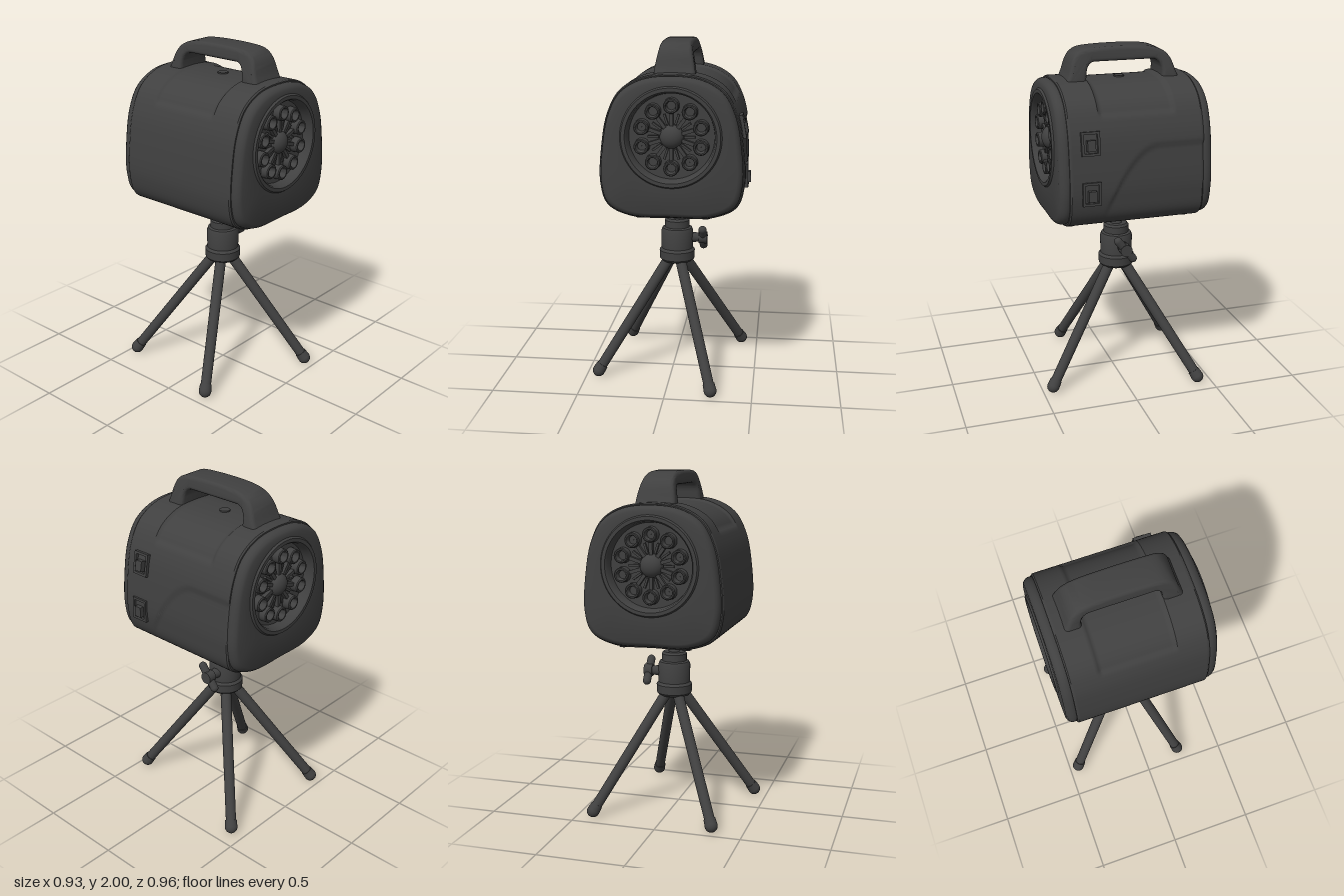
import * as THREE from 'three';
import { toCreasedNormals } from 'three/addons/utils/BufferGeometryUtils.js';

const V2 = (x, y) => new THREE.Vector2(x, y);
const step = THREE.MathUtils.smoothstep;
const CX = 0.033, CZ = -0.02, MIDY = 1.43, FANY = 1.492;

export function createModel() {
  const model = new THREE.Group();
  model.name = 'bubbleMachine';
  const mat = new THREE.MeshStandardMaterial({ color: 0x404040 });
  mat.name = 'charcoal plastic';

  function add(parent, name, geo, x = 0, y = 0, z = 0) {
    const m = new THREE.Mesh(geo, mat);
    m.name = name;
    m.position.set(x, y, z);
    parent.add(m);
    return m;
  }
  const cyl = (r1, r2, h, n = 32) => new THREE.CylinderGeometry(r1, r2, h, n);

  // Round solid between two points
  function rod(parent, name, a, b, rA, rB) {
    const m = add(parent, name, cyl(rB, rA, a.distanceTo(b), 20));
    m.position.copy(a).lerp(b, 0.5);
    m.quaternion.setFromUnitVectors(new THREE.Vector3(0, 1, 0), b.clone().sub(a).normalize());
    return m;
  }

  // Casing outline, counter-clockwise from the top centre
  const half = [[0.17, 1.811], [0.29, 1.74], [0.358, 1.615], [0.392, 1.445],
    [0.402, 1.22], [0.362, 1.1], [0.235, 1.038]];
  const pts = [[0, 1.832], ...half.map(([x, y]) => [-x, y]), [0, 1.03], ...half.slice().reverse()];
  const outline = new THREE.CatmullRomCurve3(pts.map(([x, y]) => new THREE.Vector3(x, y, 0)), true)
    .getSpacedPoints(160).slice(0, 160);

  // Skin over rings, back to front; point(p, ring) gives each corner
  function loft(rings, point) {
    const pos = [], idx = [], n = outline.length;
    rings.forEach((ring, i) => outline.forEach((p, j) => {
      pos.push(...point(p, ring));
      if (i === rings.length - 1) return;
      const k = (j + 1) % n, a = i * n + j, b = i * n + k;
      idx.push(a, b, b + n, a, b + n, a + n);
    }));
    const g = new THREE.BufferGeometry();
    g.setAttribute('position', new THREE.Float32BufferAttribute(pos, 3));
    g.setIndex(idx);
    return toCreasedNormals(g, 0.65);
  }

  const casing = new THREE.Group();
  casing.name = 'casing';
  casing.position.set(CX, 0, CZ);
  model.add(casing);

  // Main shell, with a saddle recess on top and a swept recess on one side
  function sink(x, y, z) {
    const saddle = step(z, -0.227, -0.213) * (1 - step(z, 0.193, 0.207)) * step(y, 1.665, 1.69);
    const wz = z + CZ;
    const line = 1.51 - 0.31 * (Math.max(0, wz + 0.15) / 0.29) ** 2;
    const sweep = x > 0 ? (1 - step(y, line - 0.02, line + 0.01)) * step(y, 1.1, 1.24) : 0;
    return 0.014 * saddle + 0.011 * sweep;
  }
  const L = 0.385, shellRings = [[-L, 0.95], [-L, 0.985], [-L + 0.008, 1]];
  for (let i = 1; i < 72; i++) shellRings.push([-L + 0.008 + (i / 72) * (2 * L - 0.016), 1]);
  shellRings.push([L - 0.008, 1], [L, 0.985], [L, 0.95]);
  add(casing, 'shell', loft(shellRings, (p, [z, s]) => {
    const dx = p.x, dy = p.y - MIDY;
    const f = s - sink(p.x, p.y, z) / Math.hypot(dx, dy);
    return [dx * f, MIDY + dy * f, z];
  }));

  // End caps with a round fan recess; [z, outline scale] or [z, 0, circle radius]
  const capRings = [[0.375, 0.955], [0.39, 0.972], [0.405, 0.972], [0.42, 0.96], [0.433, 0.935], [0.44, 0.9],
    [0.441, 0, 0.28], [0.452, 0, 0.272], [0.452, 0, 0.252], [0.44, 0, 0.243], [0.39, 0, 0.236], [0.385, 0, 0.02]];
  const capGeo = loft(capRings, (p, [z, s, r]) => {
    if (!r) return [p.x * s, MIDY + (p.y - MIDY) * s, z];
    const d = V2(p.x, p.y - FANY).setLength(r);
    return [d.x, FANY + d.y, z];
  });
  const nozzleGeo = toCreasedNormals(new THREE.LatheGeometry([V2(0.044, 0), V2(0.042, 0.045), V2(0.037, 0.05),
    V2(0.03, 0.05), V2(0.027, 0.045), V2(0.024, 0.012), V2(0.001, 0.012)], 24).rotateX(Math.PI / 2), 0.6);
  const hubGeo = new THREE.SphereGeometry(0.066, 32, 20).scale(1, 1, 0.75);
  for (const [side, turn] of [['front', 0], ['back', Math.PI]]) {
    const end = new THREE.Group();
    end.name = side + 'End';
    end.rotation.y = turn;
    casing.add(end);
    add(end, 'cap', capGeo);
    const fan = new THREE.Group();
    fan.name = 'bubbleWheel';
    fan.position.set(0, FANY, 0.385);
    end.add(fan);
    add(fan, 'hub', hubGeo, 0, 0, 0.008);
    for (let i = 0; i < 10; i++) {
      const arm = new THREE.Group();
      arm.name = 'wheelArm';
      arm.rotation.z = (i / 10) * Math.PI * 2;
      fan.add(arm);
      add(arm, 'nozzle', nozzleGeo, 0, 0.172, 0);
      add(arm, 'spoke', new THREE.BoxGeometry(0.02, 0.09, 0.026), 0, 0.095, 0.013);
      const rib = add(arm, 'rib', new THREE.BoxGeometry(0.012, 0.06, 0.018), 0, 0, 0.009);
      rib.rotation.z = Math.PI / 10;
      rib.position.set(-Math.sin(Math.PI / 10) * 0.1, Math.cos(Math.PI / 10) * 0.1, 0.009);
    }
  }

  // Carrying handle: an arch that widens towards its feet
  const arch = new THREE.Shape();
  arch.moveTo(0.31, 1.79);
  arch.lineTo(0.293, 1.84);
  arch.bezierCurveTo(0.268, 1.89, 0.28, 1.985, 0.17, 1.993);
  arch.bezierCurveTo(0.08, 2.002, -0.1, 2.002, -0.18, 1.992);
  arch.bezierCurveTo(-0.31, 1.975, -0.315, 1.9, -0.335, 1.85);
  arch.lineTo(-0.362, 1.79);
  arch.lineTo(-0.25, 1.79);
  arch.lineTo(-0.254, 1.86);
  arch.quadraticCurveTo(-0.245, 1.917, -0.2, 1.922);
  arch.lineTo(0.14, 1.922);
  arch.quadraticCurveTo(0.18, 1.915, 0.185, 1.86);
  arch.lineTo(0.192, 1.79);
  const handleGeo = new THREE.ExtrudeGeometry(arch, { depth: 0.16, curveSegments: 14,
    bevelThickness: 0.02, bevelSize: 0.02, bevelOffset: -0.02, bevelSegments: 4 });
  handleGeo.translate(0, 0, -0.08).rotateY(-Math.PI / 2);
  const hp = handleGeo.attributes.position;
  for (let i = 0; i < hp.count; i++) {
    hp.setX(i, hp.getX(i) * (1.16 - 0.31 * step(hp.getY(i), 1.8, 2.02)));
  }
  add(model, 'handle', toCreasedNormals(handleGeo, 0.7), 0.038, 0, 0);
  add(model, 'topButton', cyl(0.03, 0.03, 0.02), 0.035, 1.815, -0.03);

  // Switches on the side: a frame of four bars with a knob
  for (const [name, x, y, tilt] of [['powerSwitch', 0.413, 1.54, 0.18], ['lightSwitch', 0.435, 1.267, 0.03]]) {
    const sw = new THREE.Group();
    sw.name = name;
    sw.position.set(x, y, 0.247);
    sw.rotation.z = tilt;
    model.add(sw);
    for (const s of [-1, 1]) {
      add(sw, 'frameBar', new THREE.BoxGeometry(0.03, 0.014, 0.104), 0, s * 0.058, 0);
      add(sw, 'frameSide', new THREE.BoxGeometry(0.03, 0.12, 0.014), 0, 0, s * 0.045);
    }
    add(sw, 'knob', new THREE.BoxGeometry(0.05, 0.06, 0.045), 0.004, -0.01, 0);
  }

  // Low feet under the casing
  for (const x of [-0.15, 0.215]) for (const z of [0.31, -0.36]) {
    add(model, 'casingFoot', cyl(0.032, 0.028, 0.03, 20), x, 1.037, z);
  }

  // Tripod head, turned from one profile
  const tripod = new THREE.Group();
  tripod.name = 'tripod';
  tripod.position.set(0.021, 0, -0.02);
  model.add(tripod);
  const profile = [[0.001, 0.67], [0.09, 0.675], [0.104, 0.69], [0.106, 0.74], [0.094, 0.755], [0.095, 0.86],
    [0.088, 0.878], [0.074, 0.884], [0.074, 0.925], [0.064, 0.938], [0.034, 0.938], [0.026, 0.96], [0.026, 0.975],
    [0.06, 0.99], [0.1, 0.998], [0.111, 1.006], [0.111, 1.04], [0.001, 1.04]];
  add(tripod, 'head', toCreasedNormals(new THREE.LatheGeometry(profile.map(([x, y]) => V2(x, y)), 40), 0.6));

  // Clamping knob with two wings
  const knob = new THREE.Group();
  knob.name = 'clampKnob';
  knob.position.set(0, 0.815, -0.01);
  tripod.add(knob);
  add(knob, 'shaft', cyl(0.024, 0.034, 0.1, 20).rotateZ(-Math.PI / 2), 0.11, 0, 0);
  add(knob, 'boss', cyl(0.036, 0.036, 0.05, 24).rotateZ(-Math.PI / 2), 0.155, 0, 0);
  for (const s of [-1, 1]) {
    const wing = add(knob, 'wing', new THREE.CapsuleGeometry(0.024, 0.05, 6, 16), 0.155, s * 0.038, s * 0.03);
    wing.rotation.x = 0.65;
  }

  // Four splayed legs with rounded tips
  for (const [x, z] of [[-0.425, 0.225], [0.262, 0.442], [-0.32, -0.442], [0.4, -0.415]]) {
    const tip = new THREE.Vector3(x - 0.021, 0.037, z + 0.02);
    const dir = V2(tip.x, tip.z).setLength(0.045);
    const top = new THREE.Vector3(dir.x, 0.7, dir.y);
    rod(tripod, 'leg', top, tip, 0.032, 0.03);
    rod(tripod, 'legSleeve', top.clone().lerp(tip, 0.95), tip, 0.034, 0.037);
    add(tripod, 'legTip', new THREE.SphereGeometry(0.037, 20, 14), tip.x, tip.y, tip.z);
  }
  return model;
}
